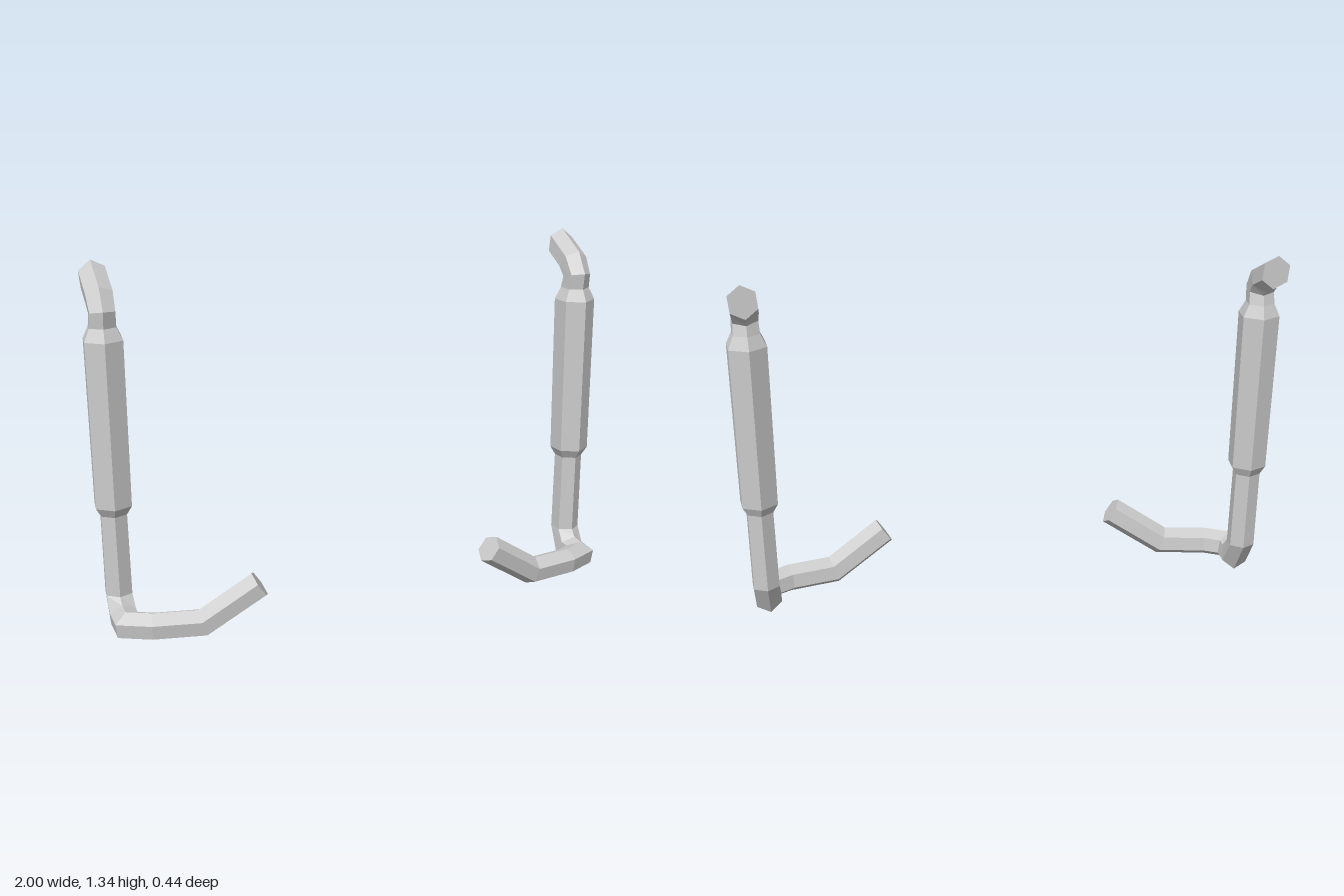
import * as THREE from 'three';

const SIDES = 6;
const V = (x, y, z) => new THREE.Vector3(x, y, z);

// Centre line of the left pipe from top to tip: x, y, z, radius, optional cut direction
const PATH = [
  [0.93, 1.28, -0.223, 0.055, [0, 0, 1]],
  [0.93, 1.228, -0.118, 0.055],
  [0.93, 1.18, -0.082, 0.051],
  [0.93, 1.13, -0.092, 0.054, [0, -1, 0]],
  [0.93, 1.084, -0.09, 0.077, [0, -1, 0]],
  [0.93, 0.474, -0.08, 0.0735, [0, -1, 0]],
  [0.93, 0.44, -0.082, 0.053, [0, -1, 0]],
  [0.928, 0.131, -0.08, 0.054, [0, -1, 0]],
  [0.925, 0.053, -0.03, 0.055],
  [0.925, 0.053, 0.05, 0.054],
  [0.84, 0.054, 0.095, 0.054],
  [0.665, 0.055, 0.13, 0.054],
  [0.46, 0.19, 0.166, 0.055],
];

// Hexagonal rings along the path; s = 1 for the left side, -1 for the right
function makeRings(s) {
  const points = PATH.map(([x, y, z]) => V(s * x, y, z));
  const dirs = points.slice(1).map((p, i) => p.clone().sub(points[i]).normalize());
  // a vertex direction with a small twist, carried along the path without rolling
  let vertex = dirs[0].clone().cross(V(1, 0, 0)).normalize()
    .applyAxisAngle(dirs[0], s * THREE.MathUtils.degToRad(6));
  // make sure the twist leans outward
  if (vertex.x * s < 0) vertex.x *= -1;

  return points.map((p, i) => {
    const d = dirs[Math.max(i - 1, 0)];
    if (i > 1) {
      vertex = vertex.clone().applyQuaternion(
        new THREE.Quaternion().setFromUnitVectors(dirs[i - 2], d));
    }
    const next = dirs[Math.min(i, dirs.length - 1)];
    const cut = PATH[i][4] ? V(...PATH[i][4]) : d.clone().add(next).normalize();
    return Array.from({ length: SIDES }, (_, k) => {
      const v = vertex.clone().applyAxisAngle(d, (k / SIDES) * Math.PI * 2)
        .multiplyScalar(PATH[i][3]);
      // slide along the pipe onto the mitre plane
      return v.addScaledVector(d, -v.dot(cut) / d.dot(cut)).add(p);
    });
  });
}

// Skin a run of rings, with optional end caps
function skin(rings, capStart, capEnd) {
  const tris = [];
  const cap = (ring, flip) => {
    const centre = V(0, 0, 0);
    ring.forEach((v) => centre.addScaledVector(v, 1 / SIDES));
    ring.forEach((v, k) => {
      const w = ring[(k + 1) % SIDES];
      tris.push(centre, flip ? w : v, flip ? v : w);
    });
  };
  for (let i = 0; i + 1 < rings.length; i++) {
    for (let k = 0; k < SIDES; k++) {
      const n = (k + 1) % SIDES;
      const a = rings[i][k], b = rings[i][n], c = rings[i + 1][k], e = rings[i + 1][n];
      tris.push(a, b, c, b, e, c);
    }
  }
  if (capStart) cap(rings[0], true);
  if (capEnd) cap(rings[rings.length - 1], false);
  const geometry = new THREE.BufferGeometry().setFromPoints(tris);
  geometry.computeVertexNormals();
  return geometry;
}

export function createModel() {
  const model = new THREE.Group();
  model.name = 'exhaustPipes';
  const material = new THREE.MeshStandardMaterial({ color: 0xcccccc, flatShading: true });

  for (const s of [1, -1]) {
    const side = new THREE.Group();
    side.name = s > 0 ? 'leftExhaust' : 'rightExhaust';
    const rings = makeRings(s);
    const add = (name, from, to) => {
      const part = rings.slice(from, to + 1);
      const mesh = new THREE.Mesh(
        skin(part, from === 0, to === rings.length - 1), material);
      mesh.name = name;
      side.add(mesh);
    };
    add('upperPipe', 0, 3); // bent outlet
    add('muffler', 3, 6); // wide section with tapered ends
    add('lowerPipe', 6, rings.length - 1); // drops down and curves inward
    model.add(side);
  }
  return model;
}
